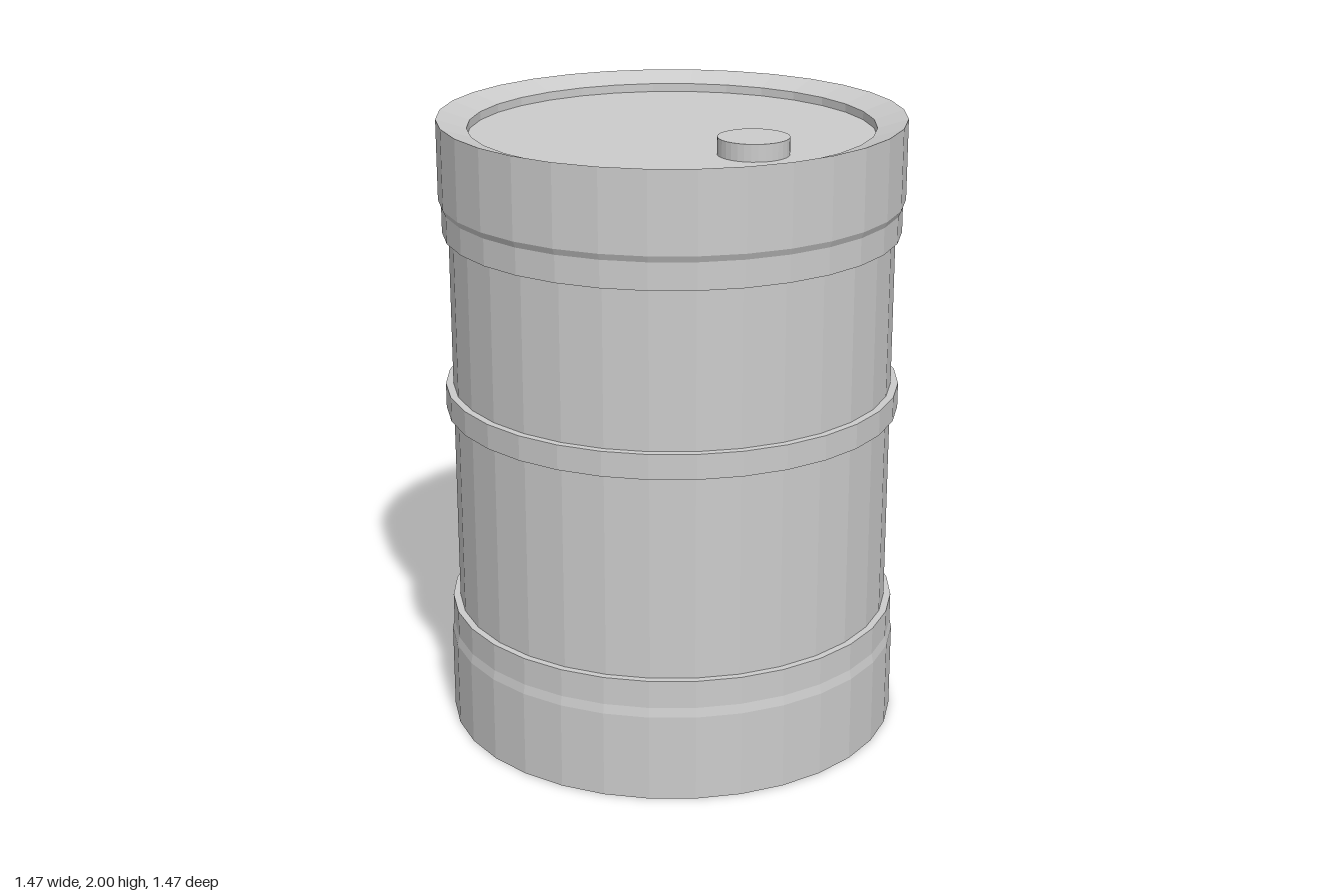
import * as THREE from 'three';

const SIDES = 32;

export function createModel() {
  const group = new THREE.Group();
  const material = new THREE.MeshStandardMaterial({ color: 0xcccccc, flatShading: true });

  const add = (name, geometry, x = 0, y = 0) => {
    const mesh = new THREE.Mesh(geometry, material);
    mesh.name = name;
    mesh.position.set(x, y, 0);
    group.add(mesh);
    return mesh;
  };

  // Drum wall with inward-dipping rims, end collars and a middle hoop: [radius, height]
  const profile = [
    [0.66, 0.06], [0.66, 0.04],
    [0.735, 0], [0.735, 0.28], [0.729, 0.31], [0.729, 0.4],
    [0.706, 0.4], [0.706, 1.06],
    [0.73, 1.06], [0.73, 1.14],
    [0.706, 1.14], [0.706, 1.64],
    [0.726, 1.64], [0.726, 1.725], [0.735, 1.745], [0.735, 2],
    [0.64, 1.97], [0.64, 1.943],
  ].map(([r, y]) => new THREE.Vector2(r, y));
  add('drumWall', new THREE.LatheGeometry(profile, SIDES));

  // Recessed lid and base
  const disc = (radius, turn) =>
    new THREE.CircleGeometry(radius, SIDES).rotateX(turn);
  add('lid', disc(0.64, -Math.PI / 2), 0, 1.943);
  add('base', disc(0.66, Math.PI / 2), 0, 0.06);

  // Filler cap on the lid, toward the model's left
  add('fillerCap', new THREE.CylinderGeometry(0.11, 0.11, 0.055, SIDES), 0.385, 1.969);

  return group;
}
